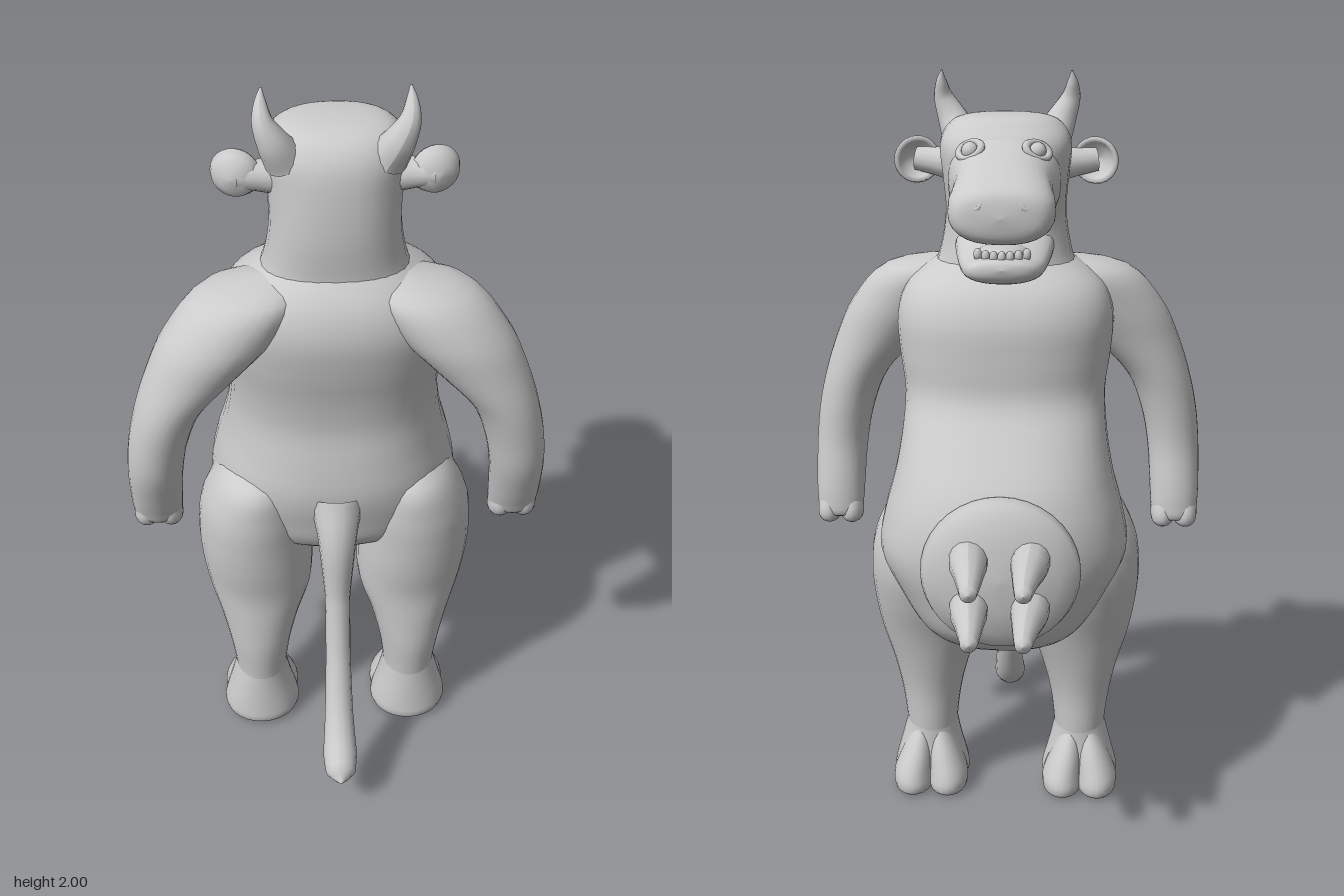
import * as THREE from 'three';

const material = new THREE.MeshStandardMaterial({ color: 0xcccccc, side: THREE.DoubleSide });

// Smooth body through cross-sections. Each row: [position on axis, cx, c2, rx, r2],
// where the second direction is z for axis 'y' and y for axis 'z'.
function loft(rows, { axis = 'y', seg = 28, steps = 4, power = 2 } = {}) {
  const at = (i, k) => rows[Math.max(0, Math.min(rows.length - 1, i))][k];
  const rings = (rows.length - 1) * steps;
  const pos = [], index = [];
  const bend = v => Math.sign(v) * Math.abs(v) ** (2 / power);
  for (let j = 0; j <= rings; j++) {
    const i = Math.min(Math.floor(j / steps), rows.length - 2), f = j / steps - i;
    const [t, cx, c2, rx, r2] = [0, 1, 2, 3, 4].map(k => {
      const a = at(i - 1, k), b = at(i, k), c = at(i + 1, k), d = at(i + 2, k);
      const v = b + 0.5 * f * (c - a + f * (2 * a - 5 * b + 4 * c - d + f * (3 * (b - c) + d - a)));
      return k > 2 ? Math.max(0, v) : v;
    });
    for (let s = 0; s < seg; s++) {
      const a = s / seg * Math.PI * 2;
      const x = cx + rx * bend(Math.cos(a)), w = c2 + r2 * bend(Math.sin(a));
      pos.push(x, axis === 'y' ? t : w, axis === 'y' ? w : t);
    }
  }
  const flip = (rows.at(-1)[0] > rows[0][0]) !== (axis === 'y');
  for (let j = 0; j < rings; j++) for (let s = 0; s < seg; s++) {
    const a = j * seg + s, n = j * seg + (s + 1) % seg, b = a + seg, m = n + seg;
    index.push(...(flip ? [a, n, b, n, m, b] : [a, b, n, n, b, m]));
  }
  const g = new THREE.BufferGeometry();
  g.setAttribute('position', new THREE.Float32BufferAttribute(pos, 3));
  g.setIndex(index);
  g.computeVertexNormals();
  return g;
}

// Round tube along points, with a radius for each point
function taper(points, radii, n = 28, seg = 14) {
  const curve = new THREE.CatmullRomCurve3(points.map(p => new THREE.Vector3(...p)));
  const g = new THREE.TubeGeometry(curve, n, 1, seg), p = g.attributes.position;
  const v = new THREE.Vector3();
  for (let i = 0; i <= n; i++) {
    const c = curve.getPointAt(i / n);
    const t = curve.getUtoTmapping(i / n) * (radii.length - 1);
    const k = Math.min(Math.floor(t), radii.length - 2);
    const r = THREE.MathUtils.lerp(radii[k], radii[k + 1], t - k);
    for (let s = 0; s <= seg; s++) {
      const id = i * (seg + 1) + s;
      v.fromBufferAttribute(p, id).sub(c).multiplyScalar(r).add(c);
      p.setXYZ(id, v.x, v.y, v.z);
    }
  }
  g.computeVertexNormals();
  return g;
}

export function createModel() {
  const model = new THREE.Group();
  const add = (name, geometry, p = [0, 0, 0], r = [0, 0, 0], s = [1, 1, 1]) => {
    const m = new THREE.Mesh(geometry, material);
    m.name = name;
    m.position.set(...p);
    m.rotation.set(...r);
    m.scale.set(...s);
    model.add(m);
    return m;
  };

  // Torso with a heavy belly
  add('torso', loft([
    [0.52, 0, -0.07, 0, 0], [0.54, 0, -0.07, 0.13, 0.09], [0.6, 0, -0.08, 0.21, 0.165],
    [0.7, 0, -0.035, 0.28, 0.245], [0.8, 0, -0.025, 0.325, 0.27], [0.9, 0, -0.015, 0.312, 0.28],
    [1.0, 0, 0, 0.285, 0.26], [1.1, 0, 0.03, 0.268, 0.22], [1.2, 0, 0.07, 0.262, 0.192],
    [1.3, 0, 0.085, 0.275, 0.2], [1.4, 0, 0.095, 0.28, 0.205], [1.48, 0, 0.105, 0.25, 0.18],
    [1.54, 0, 0.12, 0.17, 0.125], [1.58, 0, 0.12, 0.1, 0.08]
  ], { power: 2.3, seg: 40 }));

  // Head: neck and skull, muzzle, open lower jaw
  add('skull', loft([
    [1.49, 0, 0.11, 0.2, 0.13], [1.55, 0, 0.115, 0.172, 0.125], [1.65, 0, 0.12, 0.155, 0.128],
    [1.75, 0, 0.1, 0.16, 0.145], [1.83, 0, 0.095, 0.166, 0.138], [1.88, 0, 0.1, 0.14, 0.1],
    [1.9, 0, 0.09, 0.09, 0.06], [1.905, 0, 0.09, 0, 0]
  ], { power: 2.3 }));
  add('muzzle', loft([
    [0.1, 0, 1.77, 0.14, 0.11], [0, 0, 1.745, 0.14, 0.12], [-0.08, 0, 1.73, 0.122, 0.097],
    [-0.16, 0, 1.708, 0.13, 0.08], [-0.2, 0, 1.7, 0.12, 0.07], [-0.223, 0, 1.698, 0.085, 0.048],
    [-0.232, 0, 1.698, 0, 0]
  ], { axis: 'z', power: 2.4 }));
  add('jaw', loft([
    [0.1, 0, 1.6, 0.13, 0.07], [0, 0, 1.575, 0.122, 0.05], [-0.1, 0, 1.555, 0.105, 0.036],
    [-0.16, 0, 1.557, 0.088, 0.032], [-0.185, 0, 1.563, 0.055, 0.022], [-0.194, 0, 1.566, 0, 0]
  ], { axis: 'z', power: 2.3 }));
  add('tongue', new THREE.SphereGeometry(1, 20, 12), [0, 1.59, -0.07], [0.08, 0, 0], [0.06, 0.018, 0.09]);
  for (let i = -3; i <= 3; i++) {
    add('tooth', new THREE.SphereGeometry(0.013, 10, 8),
      [i * 0.02, 1.592, -0.165 + i * i * 0.004], [0, 0, 0], [0.8, 1.2, 0.7]);
  }

  // Udder plate on the belly
  const plate = [[0.19, -0.05], [0.203, -0.01], [0.195, 0.012], [0.15, 0.038], [0.08, 0.055], [0, 0.06]];
  add('udder', new THREE.LatheGeometry(plate.map(p => new THREE.Vector2(...p)), 36),
    [0, 0.81, -0.275], [-Math.PI / 2, 0, 0]);

  // Tail with a thick tip
  add('tail', taper(
    [[0, 0.88, 0.22], [0, 0.78, 0.27], [0, 0.6, 0.295], [0, 0.42, 0.335], [0, 0.26, 0.4],
      [0, 0.17, 0.465], [0, 0.145, 0.51], [0, 0.14, 0.545]],
    [0.07, 0.05, 0.033, 0.033, 0.038, 0.046, 0.04, 0], 48));

  for (const s of [-1, 1]) {
    const side = rows => rows.map(([t, x, ...rest]) => [t, s * x, ...rest]);

    // Arm with a two-part hand
    add('arm', loft(side([
      [1.535, 0.15, 0.17, 0, 0], [1.5, 0.2, 0.185, 0.12, 0.1], [1.4, 0.275, 0.21, 0.138, 0.115],
      [1.3, 0.345, 0.222, 0.115, 0.105], [1.2, 0.408, 0.228, 0.085, 0.095], [1.1, 0.44, 0.227, 0.075, 0.084],
      [1.0, 0.455, 0.22, 0.07, 0.074], [0.9, 0.46, 0.195, 0.067, 0.062], [0.84, 0.461, 0.18, 0.064, 0.052],
      [0.8, 0.461, 0.172, 0.055, 0.04], [0.79, 0.461, 0.17, 0, 0]
    ])));
    for (const x of [0.43, 0.492]) {
      add('finger', loft(side([
        [0.87, x, 0.185, 0.02, 0.03], [0.82, x, 0.175, 0.032, 0.046],
        [0.785, x, 0.168, 0.027, 0.036], [0.768, x, 0.165, 0, 0]
      ]), { seg: 16 }));
    }

    // Leg
    add('leg', loft(side([
      [0.95, 0.19, 0.1, 0, 0], [0.9, 0.2, 0.1, 0.09, 0.13], [0.8, 0.21, 0.085, 0.14, 0.165],
      [0.7, 0.214, 0.08, 0.151, 0.165], [0.6, 0.21, 0.088, 0.15, 0.145], [0.5, 0.205, 0.098, 0.138, 0.118],
      [0.4, 0.208, 0.112, 0.108, 0.104], [0.3, 0.21, 0.122, 0.085, 0.093], [0.2, 0.21, 0.12, 0.072, 0.083],
      [0.12, 0.21, 0.12, 0.07, 0.075]
    ])));

    // Cloven foot: heel and two toes
    add('heel', loft(side([
      [0.2, 0.21, 0.12, 0.07, 0.081], [0.14, 0.212, 0.12, 0.084, 0.084], [0.06, 0.212, 0.118, 0.105, 0.09],
      [0.025, 0.212, 0.118, 0.104, 0.09], [0.008, 0.212, 0.118, 0.085, 0.075], [0.006, 0.212, 0.118, 0, 0]
    ])));
    for (const x of [0.163, 0.261]) {
      const top = x * 0.5 + 0.106;
      add('toe', loft(side([
        [0.18, top, 0.085, 0.025, 0.04], [0.12, (x + top) / 2, 0.07, 0.042, 0.06],
        [0.06, x, 0.06, 0.054, 0.078], [0.025, x, 0.055, 0.055, 0.079],
        [0.005, x, 0.058, 0.045, 0.066], [0.003, x, 0.058, 0, 0]
      ]), { seg: 20 }));
    }

    // Horn
    add('horn', taper(
      [[s * 0.115, 1.83, 0.165], [s * 0.14, 1.88, 0.185], [s * 0.162, 1.93, 0.185], [s * 0.166, 1.97, 0.168],
        [s * 0.164, 2.0, 0.155]], [0.05, 0.038, 0.025, 0.014, 0.002]));

    // Ear: stem and hollow cup opening forward
    add('earStem', taper([[s * 0.13, 1.77, 0.13], [s * 0.18, 1.775, 0.14], [s * 0.23, 1.78, 0.15]],
      [0.045, 0.036, 0.03], 12));
    const cup = [[0, -0.03], [0.03, -0.026], [0.052, -0.008], [0.06, 0.012], [0.055, 0.022],
      [0.046, 0.014], [0.03, -0.006], [0, -0.014]];
    add('ear', new THREE.LatheGeometry(cup.map(p => new THREE.Vector2(...p)), 24),
      [s * 0.23, 1.78, 0.145], [-Math.PI / 2, 0, s * 0.25], [1, 1, 1]);

    // Eye with lid, and nostril
    add('eye', new THREE.SphereGeometry(0.022, 16, 12), [s * 0.082, 1.828, -0.038]);
    add('eyelid', new THREE.TorusGeometry(0.026, 0.009, 8, 20),
      [s * 0.082, 1.83, -0.042], [0.7, s * -0.5, 0], [1.2, 0.85, 1]);
    add('nostril', new THREE.TorusGeometry(0.017, 0.007, 8, 18),
      [s * 0.06, 1.735, -0.211], [0.5, s * -0.4, 0], [0.9, 1.1, 1]);

    // Teats
    for (const y of [0.87, 0.74]) {
      add('teat', taper(
        [[s * 0.078, y - 0.005, -0.3], [s * 0.075, y - 0.004, -0.36], [s * 0.07, y, -0.43], [s * 0.066, y, -0.5],
          [s * 0.065, y, -0.537], [s * 0.065, y, -0.546]], [0.05, 0.047, 0.036, 0.026, 0.021, 0]));
    }
  }
  return model;
}
